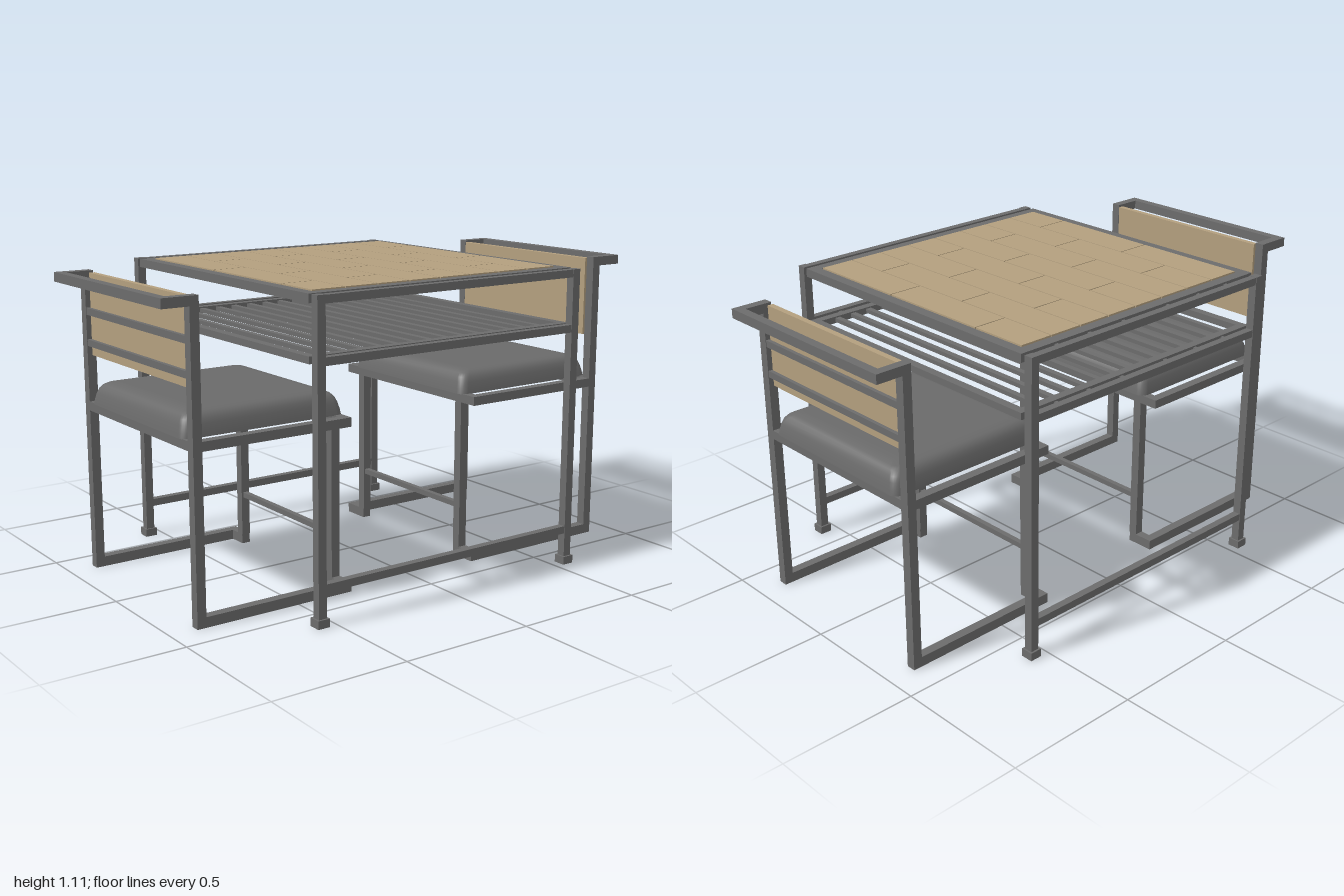
import * as THREE from 'three';

const steel = new THREE.MeshStandardMaterial({ color: 0x6c6c6c });
steel.name = 'greySteel';
const wood = new THREE.MeshStandardMaterial({ color: 0xb39f7e });
wood.name = 'paleWood';
const fabric = new THREE.MeshStandardMaterial({ color: 0x6a6a6a });
fabric.name = 'greyFabric';

// box given by its min and max on each axis
function bar(parent, name, x0, x1, y0, y1, z0, z1, mat = steel) {
  const mesh = new THREE.Mesh(new THREE.BoxGeometry(x1 - x0, y1 - y0, z1 - z0), mat);
  mesh.position.set((x0 + x1) / 2, (y0 + y1) / 2, (z0 + z1) / 2);
  mesh.name = name;
  parent.add(mesh);
  return mesh;
}

// same box on both sides of x = 0
function pair(parent, name, x0, x1, ...rest) {
  bar(parent, name + 'Left', x0, x1, ...rest);
  bar(parent, name + 'Right', -x1, -x0, ...rest);
}

// flat rectangular frame of bars, w wide
function frame(parent, name, hx, hz, y0, y1, w) {
  pair(parent, name + 'Side', hx - w, hx, y0, y1, -hz, hz);
  for (const s of [-1, 1]) {
    const z = s * (hz - w / 2);
    bar(parent, name + (s > 0 ? 'Front' : 'Back'), -hx + w, hx - w, y0, y1, z - w / 2, z + w / 2);
  }
}

// cushion from stacked rounded rectangles: [inset, height]
function cushionGeometry(hx, hz) {
  const rings = [[0, 0], [0, 0], [0.003, 0.018], [0.009, 0.042], [0.016, 0.06],
    [0.027, 0.073], [0.042, 0.081], [0.07, 0.085]];
  const steps = 6, n = 4 * (steps + 1), pos = [], idx = [];
  for (const [inset, y] of rings) {
    const r = 0.03;
    for (let c = 0; c < 4; c++) {
      const sx = c === 0 || c === 3 ? 1 : -1, sz = c < 2 ? 1 : -1;
      for (let k = 0; k <= steps; k++) {
        const a = (c + k / steps) * Math.PI / 2;
        pos.push(sx * (hx - inset - r) + r * Math.cos(a), y, sz * (hz - inset - r) + r * Math.sin(a));
      }
    }
  }
  // walls, skipping the doubled bottom ring so its edge stays sharp
  for (let j = 1; j < rings.length - 1; j++) {
    for (let i = 0; i < n; i++) {
      const a = j * n + i, b = j * n + (i + 1) % n;
      idx.push(a, a + n, b, b, a + n, b + n);
    }
  }
  // caps
  const top = (rings.length - 1) * n;
  for (let i = 1; i < n - 1; i++) {
    idx.push(top, top + i + 1, top + i);
    idx.push(0, i, i + 1);
  }
  const g = new THREE.BufferGeometry();
  g.setAttribute('position', new THREE.Float32BufferAttribute(pos, 3));
  g.setIndex(idx);
  g.computeVertexNormals();
  return g;
}

function makeChair() {
  const chair = new THREE.Group();
  // sled legs: back post, floor runner, short step inwards, front leg
  pair(chair, 'backPost', 0.36, 0.395, 0, 1.107, 0.866, 0.9);
  pair(chair, 'floorRunner', 0.36, 0.395, 0, 0.037, 0.277, 0.866);
  pair(chair, 'floorStep', 0.29, 0.36, 0, 0.037, 0.277, 0.311);
  pair(chair, 'frontLeg', 0.288, 0.322, 0.037, 0.602, 0.277, 0.311);
  bar(chair, 'footRail', -0.288, 0.288, 0.187, 0.207, 0.284, 0.304);
  // seat frame and cushion
  pair(chair, 'seatRail', 0.36, 0.395, 0.6, 0.633, 0.277, 0.866);
  bar(chair, 'seatFrontRail', -0.36, 0.36, 0.6, 0.633, 0.277, 0.311);
  bar(chair, 'seatBackRail', -0.36, 0.36, 0.6, 0.633, 0.866, 0.9);
  const cushion = new THREE.Mesh(cushionGeometry(0.338, 0.319), fabric);
  cushion.name = 'cushion';
  cushion.position.set(0, 0.632, 0.586);
  chair.add(cushion);
  // backrest board with two slim rails behind it
  bar(chair, 'backBoard', -0.355, 0.355, 0.803, 1.1, 0.862, 0.884, wood);
  bar(chair, 'backRailUpper', -0.36, 0.36, 0.95, 0.975, 0.884, 0.898);
  bar(chair, 'backRailLower', -0.36, 0.36, 0.837, 0.861, 0.884, 0.898);
  // handle loop behind the back
  pair(chair, 'handleArm', 0.36, 0.395, 1.073, 1.107, 0.9, 1);
  bar(chair, 'handleBar', -0.36, 0.36, 1.073, 1.107, 0.967, 1);
  return chair;
}

function makeTable() {
  const table = new THREE.Group();
  table.name = 'table';
  // legs with feet
  for (const z of [-0.555, 0.555]) {
    pair(table, 'tableLeg', 0.588, 0.62, 0, 1.107, z - 0.016, z + 0.016);
    pair(table, 'tableFoot', 0.581, 0.627, 0, 0.03, z - 0.023, z + 0.023);
  }
  // side rails between the legs
  for (const [name, y] of [['top', 1.092], ['shelf', 0.892], ['low', 0.133]]) {
    pair(table, name + 'SideRail', 0.59, 0.618, y - 0.014, y + 0.014, -0.54, 0.54);
  }
  // pegs joining the side rails to the top and the shelf
  for (const y of [1.093, 0.893]) {
    for (const z of [-0.42, -0.27, -0.11, 0.11, 0.27, 0.42]) {
      pair(table, 'peg', 0.568, 0.592, y - 0.007, y + 0.007, z - 0.007, z + 0.007);
    }
  }
  frame(table, 'topFrame', 0.572, 0.571, 1.076, 1.107, 0.04);
  frame(table, 'shelfFrame', 0.572, 0.571, 0.88, 0.905, 0.032);
  // shelf slats
  const slats = 14;
  for (let i = 0; i < slats; i++) {
    const z = -0.54 + 1.08 * (i + 1) / (slats + 1);
    bar(table, 'shelfSlat', -0.545, 0.545, 0.885, 0.9, z - 0.011, z + 0.011);
  }
  // wooden top: base board and staggered planks
  bar(table, 'topBoard', -0.532, 0.532, 1.085, 1.104, -0.531, 0.531, wood);
  const rows = 8, w = 1.06 / rows, gap = 0.002;
  for (let i = 0; i < rows; i++) {
    const z = -0.53 + i * w;
    const cuts = i % 2 ? [-0.53, -0.09, 0.35, 0.53] : [-0.53, -0.31, 0.13, 0.53];
    for (let k = 0; k < 3; k++) {
      bar(table, 'plank', cuts[k] + gap, cuts[k + 1] - gap, 1.103, 1.111, z + gap, z + w - gap, wood);
    }
  }
  return table;
}

export function createModel() {
  const model = new THREE.Group();
  model.name = 'diningSet';
  const front = makeChair(), back = makeChair();
  front.name = 'frontChair';
  back.name = 'backChair';
  back.rotation.y = Math.PI;
  model.add(makeTable(), front, back);
  return model;
}
